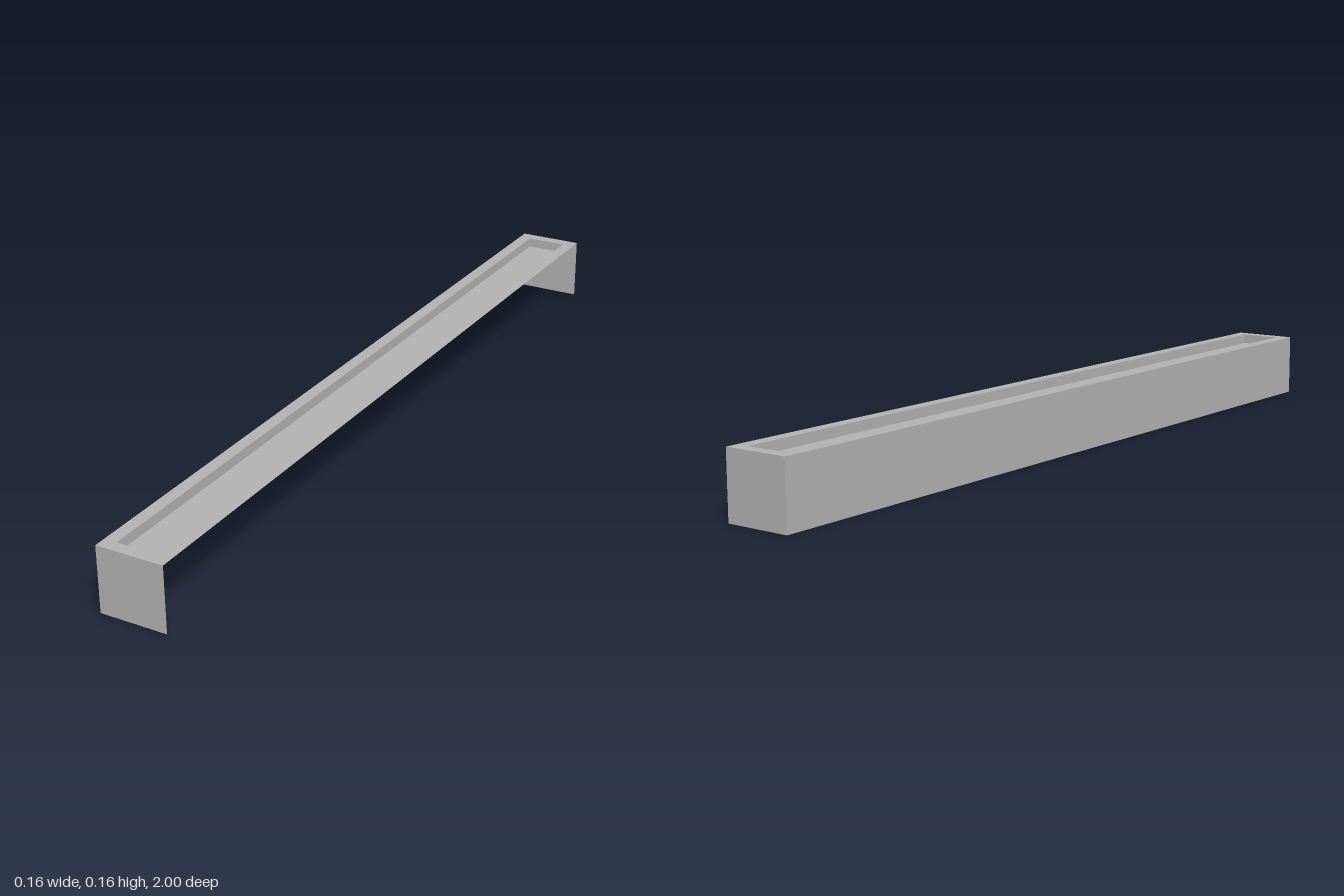
import * as THREE from 'three';

const W = 0.16, H = 0.155, L = 2;               // outer size
const IW = 0.1, IL = 1.942, FLOOR = 0.131;      // recess size and floor height

export function createModel() {
  const grey = new THREE.MeshStandardMaterial({ color: 0xb2b2b2, side: THREE.DoubleSide });
  grey.name = 'grey';
  const model = new THREE.Group();
  model.name = 'trough';

  const add = (name, geometry, x, y, z) => {
    const mesh = new THREE.Mesh(geometry, grey);
    mesh.name = name;
    mesh.position.set(x, y, z);
    model.add(mesh);
  };
  const sheet = (w, h) => new THREE.PlaneGeometry(w, h);
  const rectangle = (path, w, l) => path.setFromPoints([
    new THREE.Vector2(-w / 2, -l / 2), new THREE.Vector2(w / 2, -l / 2),
    new THREE.Vector2(w / 2, l / 2), new THREE.Vector2(-w / 2, l / 2),
  ]);

  // Flat rim around the recess
  const rim = rectangle(new THREE.Shape(), W, L);
  rim.holes.push(rectangle(new THREE.Path(), IW, IL));
  add('rim', new THREE.ShapeGeometry(rim).rotateX(-Math.PI / 2), 0, H, 0);

  // Shallow recess: floor and four thin walls
  add('recessFloor', sheet(IW, IL).rotateX(-Math.PI / 2), 0, FLOOR, 0);
  const depth = H - FLOOR, midY = (H + FLOOR) / 2;
  for (const s of [-1, 1]) {
    add('recessSideWall', sheet(IL, depth).rotateY(-s * Math.PI / 2), s * IW / 2, midY, 0);
    add('recessEndWall', sheet(IW, depth).rotateY(s > 0 ? Math.PI : 0), 0, midY, s * IL / 2);
    // End plates
    add(s > 0 ? 'frontPlate' : 'backPlate', sheet(W, H).rotateY(s > 0 ? 0 : Math.PI), 0, H / 2, s * L / 2);
  }

  // Single long side; the +x side and the underside stay open
  add('sidePlate', sheet(L, H).rotateY(-Math.PI / 2), -W / 2, H / 2, 0);
  return model;
}
